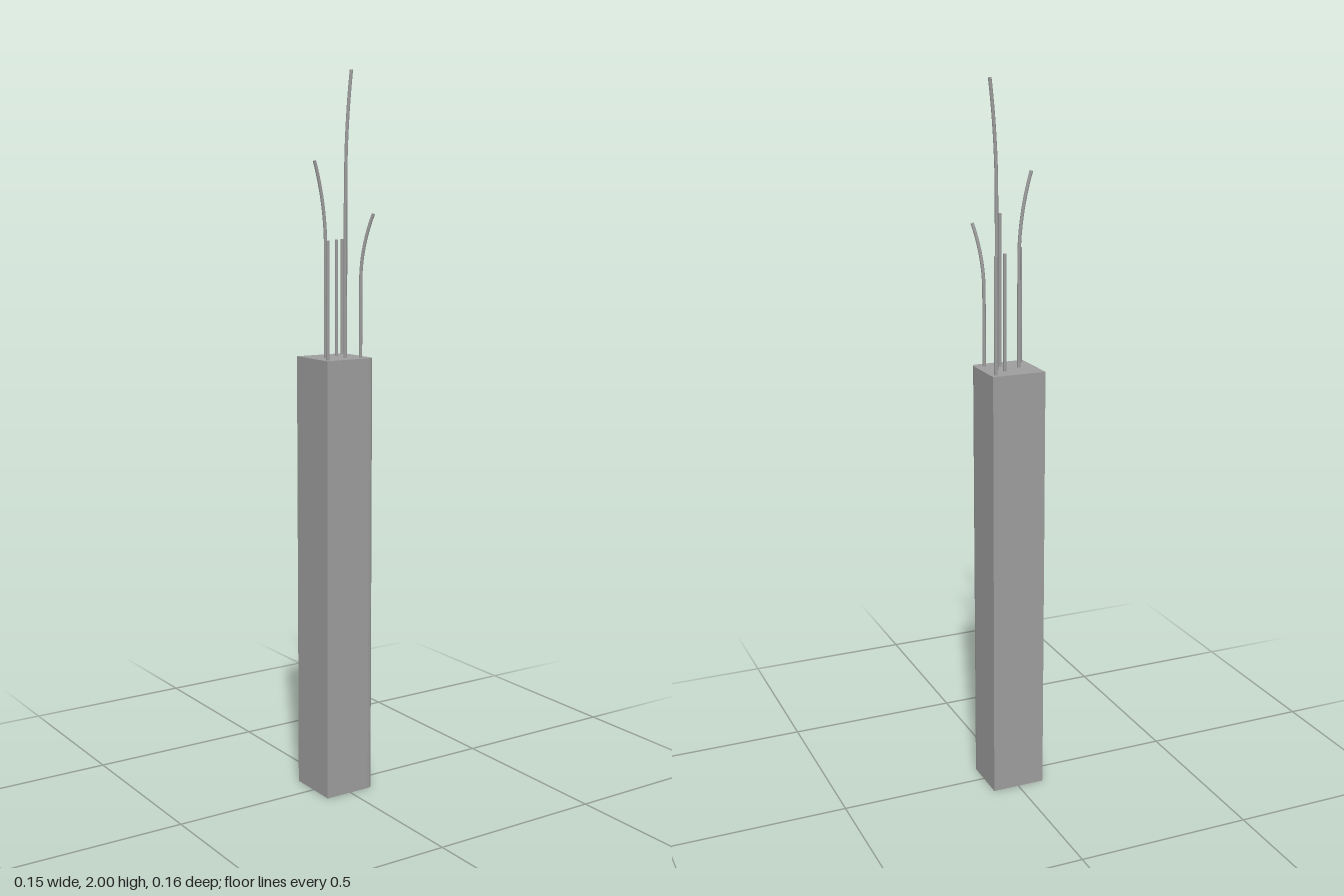
import * as THREE from 'three';

const TOP = 1.232;   // top of the concrete column
const ROD = 0.0047;  // bar radius

export function createModel() {
  const model = new THREE.Group();
  const concrete = new THREE.MeshStandardMaterial({ color: 0x9e9e9e, flatShading: true });
  const steel = new THREE.MeshStandardMaterial({ color: 0x9e9e9e });
  const add = (name, geometry, material) => {
    const mesh = new THREE.Mesh(geometry, material);
    mesh.name = name;
    model.add(mesh);
  };

  // Square column with one rounded corner at the front left
  const x0 = -0.077, x1 = 0.076, z0 = -0.079, z1 = 0.074, r = 0.017;
  const section = new THREE.Shape();
  section.moveTo(x0, -z1);
  section.lineTo(x1 - r, -z1);
  section.quadraticCurveTo(x1, -z1, x1, -z1 + r);
  section.lineTo(x1, -z0);
  section.lineTo(x0, -z0);
  section.closePath();
  const column = new THREE.ExtrudeGeometry(section, { depth: TOP, bevelEnabled: false, curveSegments: 4 });
  column.rotateX(-Math.PI / 2);
  add('column', column, concrete);

  // Straight reinforcing bars: x, z, top height
  const straight = [
    [-0.06, 0.051, 1.55], [0.01, 0.029, 1.648],
    [0.02, -0.028, 1.55], [0.06, -0.06, 1.55],
  ];
  straight.forEach(([x, z, top], i) => {
    const length = top - TOP + 0.02;
    const bar = new THREE.CylinderGeometry(ROD, ROD, length, 10);
    bar.translate(x, top - length / 2, z);
    add('straightBar' + (i + 1), bar, steel);
  });

  // Bent bars: foot x, z; height where the bend starts; tip x, y, z
  const bent = [
    [-0.032, -0.003, 1.53, -0.067, 1.76, -0.003],
    [0.033, -0.003, 1.7, 0.051, 2.0, -0.003],
    [0.049, 0.047, 1.44, 0.071, 1.62, 0.074],
  ];
  bent.forEach(([x, z, bend, tx, ty, tz], i) => {
    const start = new THREE.Vector3(x, bend, z);
    const tip = new THREE.Vector3(tx, ty, tz);
    const path = new THREE.CurvePath();
    path.add(new THREE.LineCurve3(new THREE.Vector3(x, TOP - 0.02, z), start));
    path.add(new THREE.QuadraticBezierCurve3(start, new THREE.Vector3(x, (bend + ty) / 2, z), tip));
    add('bentBar' + (i + 1), new THREE.TubeGeometry(path, 28, ROD, 10), steel);

    // Closed end of the bar, facing along the bend
    const cap = new THREE.CircleGeometry(ROD, 10);
    const q = new THREE.Quaternion().setFromUnitVectors(new THREE.Vector3(0, 0, 1), path.getTangent(1));
    cap.applyQuaternion(q).translate(tx, ty, tz);
    add('bentBarEnd' + (i + 1), cap, steel);
  });

  return model;
}
